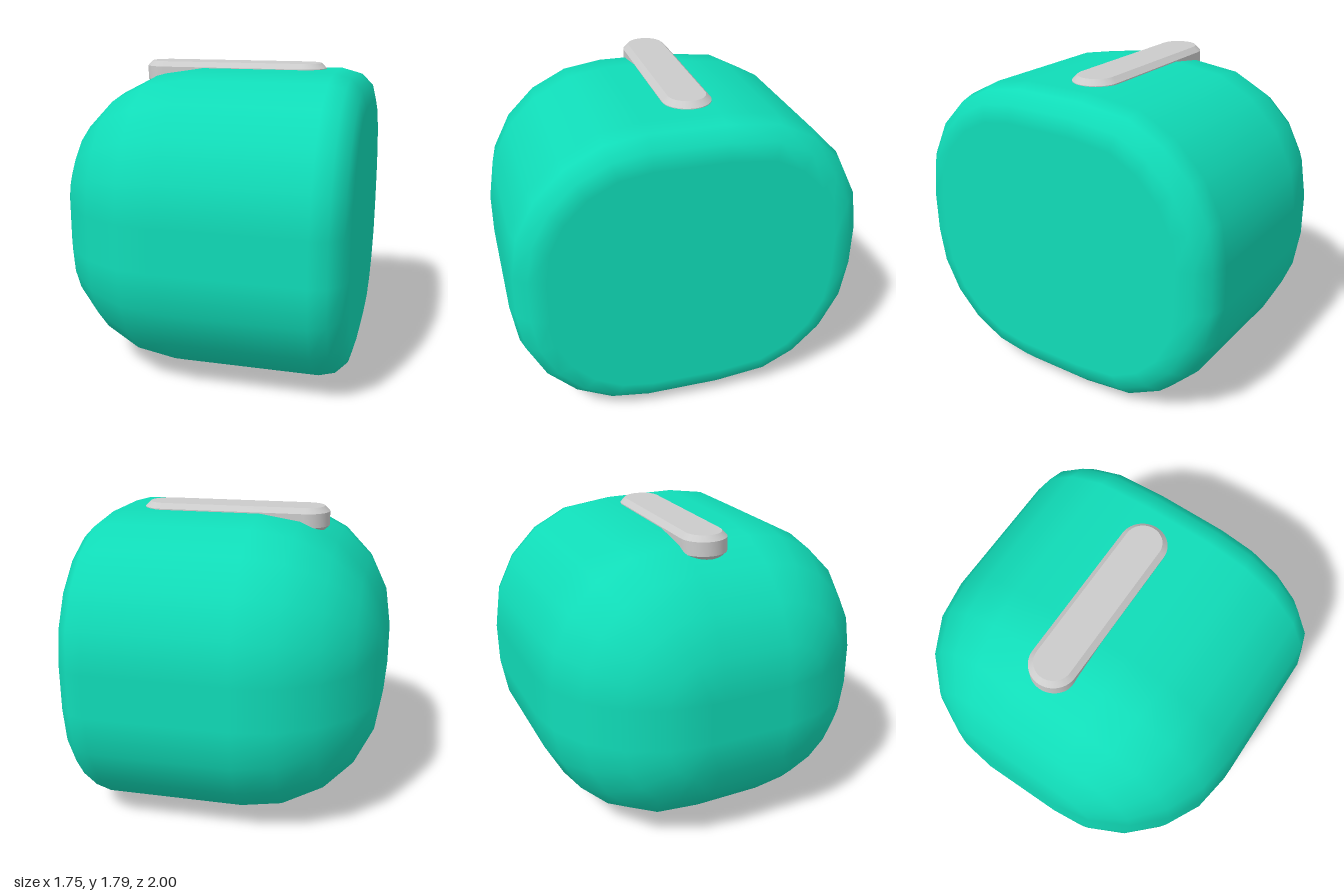
import * as THREE from 'three';
import { toCreasedNormals } from 'three/addons/utils/BufferGeometryUtils.js';

const MID_Y = 0.878, FLAT_Y = 0.123, FLAT_Z = 0.243, R = 0.755, RIM = 0.19;
const END_X = 0.875, STEPS = 5;

// Rounded block: rounded-rectangle sections along x, domed at -x, small rim at +x
function bodyGeometry() {
  const pos = [], nor = [], idx = [];
  const sections = [];
  for (let i = 0; i <= STEPS; i++) { // dome
    const a = (i / STEPS) * Math.PI / 2;
    sections.push({ x: -END_X + R - R * Math.cos(a), r: R * Math.sin(a), nx: -Math.cos(a), nr: Math.sin(a) });
  }
  for (let i = 0; i <= 3; i++) { // rim
    const a = (i / 3) * Math.PI / 2;
    sections.push({ x: END_X - RIM + RIM * Math.sin(a), r: R - RIM + RIM * Math.cos(a), nx: Math.sin(a), nr: Math.cos(a) });
  }
  // Corners of a section, in order from +y towards +z
  const corners = [[1, 1], [-1, 1], [-1, -1], [1, -1]];
  const n = corners.length * (STEPS + 1);
  for (const { x, r, nx, nr } of sections) {
    corners.forEach(([sy, sz], q) => {
      for (let k = 0; k <= STEPS; k++) {
        const t = (q + k / STEPS) * Math.PI / 2;
        const c = Math.cos(t), s = Math.sin(t);
        // the flat is slightly shorter on the back half
        const flatZ = sz < 0 && Math.abs(s) < 1e-6 ? 0.165 : FLAT_Z;
        pos.push(x, MID_Y + sy * FLAT_Y + r * c, sz * flatZ + r * s);
        nor.push(nx, nr * c, nr * s);
      }
    });
  }
  for (let i = 0; i < sections.length - 1; i++) {
    for (let j = 0; j < n; j++) {
      const a = i * n + j, b = i * n + (j + 1) % n;
      idx.push(a, b, a + n, b, b + n, a + n);
    }
  }
  // flat ends
  const last = (sections.length - 1) * n, left = sections.length * n, right = left + 1;
  pos.push(-END_X, MID_Y, 0, END_X, MID_Y, 0);
  nor.push(-1, 0, 0, 1, 0, 0);
  for (let j = 0; j < n; j++) {
    const k = (j + 1) % n;
    idx.push(left, k, j, right, last + j, last + k);
  }
  const g = new THREE.BufferGeometry();
  g.setAttribute('position', new THREE.Float32BufferAttribute(pos, 3));
  g.setAttribute('normal', new THREE.Float32BufferAttribute(nor, 3));
  g.setIndex(idx);
  return g;
}

// Pill-shaped bar with chamfered edges
function barGeometry(halfLength, radius, height, chamfer) {
  const r = radius - chamfer, h = halfLength - radius;
  const shape = new THREE.Shape();
  shape.absarc(h, 0, r, -Math.PI / 2, Math.PI / 2);
  shape.absarc(-h, 0, r, Math.PI / 2, Math.PI * 1.5);
  const g = new THREE.ExtrudeGeometry(shape, {
    depth: height - 2 * chamfer, bevelEnabled: true, bevelSegments: 1,
    bevelSize: chamfer, bevelThickness: chamfer, curveSegments: 16,
  });
  g.rotateX(-Math.PI / 2);
  g.translate(0, chamfer, 0);
  return toCreasedNormals(g, 0.6);
}

export function createModel() {
  const model = new THREE.Group();
  model.name = 'roundedBlockWithBar';

  const body = new THREE.Mesh(bodyGeometry(), new THREE.MeshStandardMaterial({ color: 0x10dcb8 }));
  body.name = 'body';
  model.add(body);

  const bar = new THREE.Mesh(barGeometry(0.555, 0.135, 0.14, 0.03), new THREE.MeshStandardMaterial({ color: 0xcccccc }));
  bar.name = 'topBar';
  bar.position.set(0.05, 1.65, -0.05);
  model.add(bar);

  return model;
}
